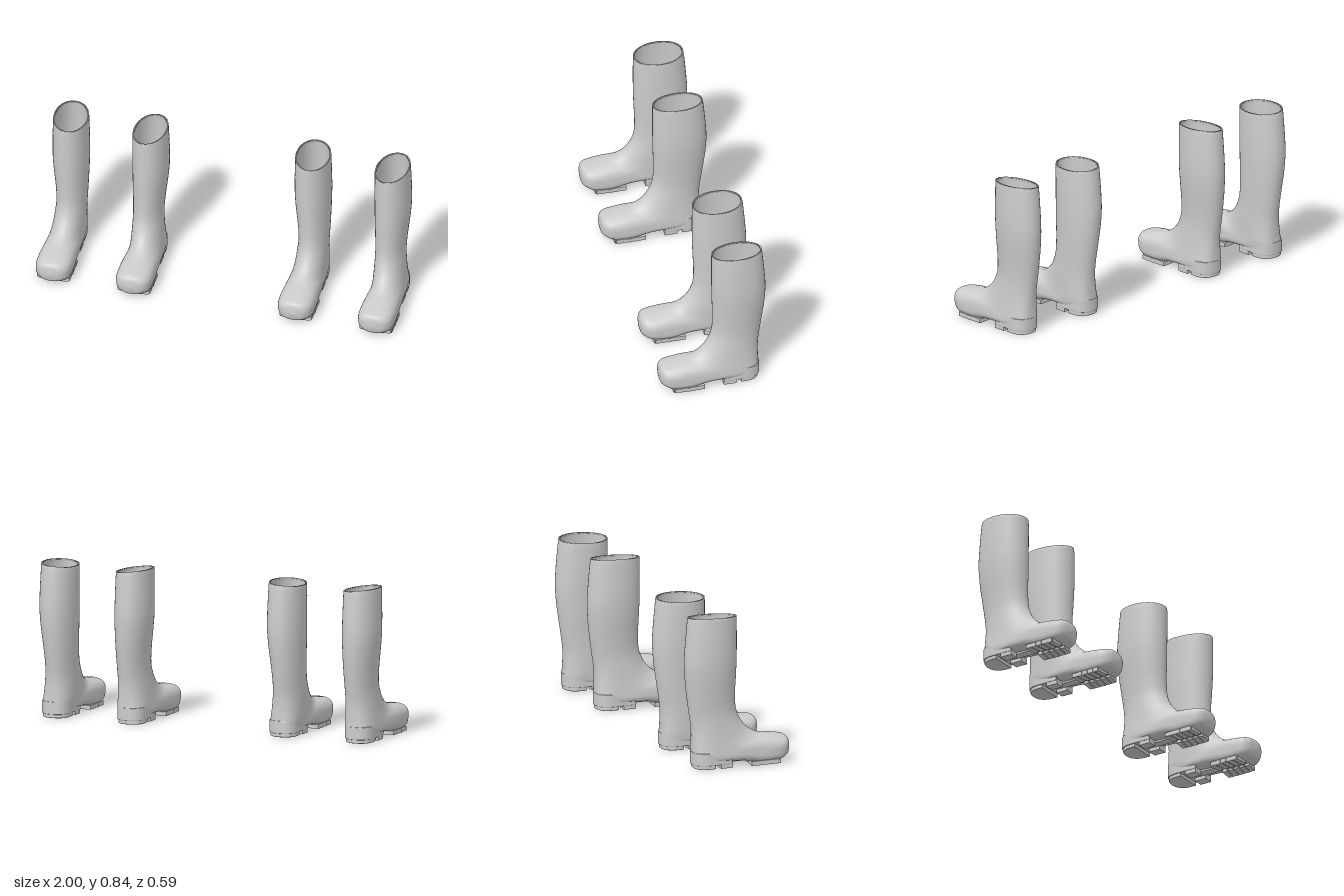
import * as THREE from 'three';

const { smoothstep } = THREE.MathUtils;
const rubber = new THREE.MeshStandardMaterial({ color: 0xcccccc });
rubber.name = 'grey rubber';

// Rings from shaft top to toe tip: [front z, front y, back z, back y, half width, x shift]
const RINGS = [
  [-0.002, 0.824, -0.274, 0.833, 0.091, 0.002],
  [0, 0.812, -0.279, 0.818, 0.094, 0.002],
  [0, 0.62, -0.296, 0.62, 0.097, 0.001],
  [-0.003, 0.5, -0.293, 0.5, 0.092, 0.004],
  [-0.006, 0.4, -0.282, 0.4, 0.085, 0.008],
  [0, 0.31, -0.268, 0.3, 0.08, 0.01],
  [0.027, 0.245, -0.256, 0.21, 0.081, 0.008],
  [0.062, 0.203, -0.254, 0.12, 0.083, 0.005],
  [0.09, 0.183, -0.252, 0.055, 0.085, 0.002],
  [0.12, 0.168, -0.2, 0.03, 0.087, 0],
  [0.15, 0.161, -0.09, 0.03, 0.091, 0],
  [0.18, 0.156, 0.02, 0.027, 0.095, 0],
  [0.21, 0.151, 0.11, 0.012, 0.098, 0],
  [0.24, 0.146, 0.19, 0.011, 0.097, 0],
  [0.264, 0.142, 0.24, 0.015, 0.089, 0],
  [0.281, 0.135, 0.272, 0.024, 0.072, 0],
  [0.292, 0.118, 0.289, 0.038, 0.048, 0],
  [0.298, 0.077, 0.298, 0.077, 0, 0],
];

// Smooth extra rings between the given ones
function refine(rings, steps) {
  const out = [];
  for (let i = 0; i < rings.length - 1; i++) {
    const a = rings[Math.max(i - 1, 0)], b = rings[i], c = rings[i + 1];
    const d = rings[Math.min(i + 2, rings.length - 1)];
    for (let k = 0; k < steps; k++) {
      const t = k / steps;
      out.push(b.map((v, n) => {
        const slope = c[n] - a[n];
        const bend = 2 * a[n] - 5 * v + 4 * c[n] - d[n];
        const twist = 3 * (v - c[n]) + d[n] - a[n];
        return v + 0.5 * t * (slope + t * (bend + t * twist));
      }));
    }
  }
  out.push(rings[rings.length - 1]);
  return out;
}

// Skin over superellipse rings, squarer towards the sole; side -1 mirrors it
function loft(rings, side) {
  const N = 40, pos = [], index = [];
  const power = (v, n) => Math.sign(v) * Math.pow(Math.abs(v), 2 / n);
  for (const [fz, fy, bz, by, w, shift] of rings) {
    const nFront = 2 + 0.5 * smoothstep(fz, 0.03, 0.2);
    const nBack = 2.1 + 1.9 * smoothstep(fz, 0, 0.16) - 1.8 * smoothstep(fz, 0.25, 0.3);
    for (let j = 0; j < N; j++) {
      const t = (j / N) * Math.PI * 2, c = Math.cos(t);
      const n = c > 0 ? nFront : nBack;
      const u = power(c, n), v = power(Math.sin(t), n);
      // the rim is cut at a slant: higher on one side
      const tilt = -0.009 * v * smoothstep((fy + by) / 2, 0.5, 0.83);
      pos.push(side * (shift + w * v), (fy + by) / 2 + u * (fy - by) / 2 + tilt,
        (fz + bz) / 2 + u * (fz - bz) / 2);
    }
  }
  for (let i = 0; i < rings.length - 1; i++) {
    for (let j = 0; j < N; j++) {
      const a = i * N + j, d = i * N + ((j + 1) % N), b = a + N, c = d + N;
      if (side > 0) index.push(a, b, c, a, c, d);
      else index.push(a, c, b, a, d, c);
    }
  }
  const g = new THREE.BufferGeometry();
  g.setAttribute('position', new THREE.Float32BufferAttribute(pos, 3));
  g.setIndex(index);
  g.computeVertexNormals();
  return g;
}

// Horizontal slab with straight front and rounded back, from height y0 to y1
function heelSlab(zFront, zBack, w, y0, y1) {
  const bevel = 0.005, s = new THREE.Shape();
  const r = Math.min(w * 1.1, zFront - zBack - 2 * bevel);
  // shape y is -z, so the back of the heel is up
  s.moveTo(-w + bevel, -zFront + bevel);
  s.lineTo(w - bevel, -zFront + bevel);
  s.lineTo(w - bevel, -zBack - r);
  s.bezierCurveTo(w - bevel, -zBack - r * 0.35, w * 0.6, -zBack - bevel, 0, -zBack - bevel);
  s.bezierCurveTo(-w * 0.6, -zBack - bevel, -w + bevel, -zBack - r * 0.35, -w + bevel, -zBack - r);
  const g = new THREE.ExtrudeGeometry(s, {
    depth: y1 - y0 - 2 * bevel, bevelThickness: bevel, bevelSize: bevel,
    bevelSegments: 2, curveSegments: 12,
  });
  return g.rotateX(-Math.PI / 2).translate(0, y0 + bevel, 0);
}

function createBoot(side) {
  const boot = new THREE.Group();
  const add = (geometry, name, x = 0, y = 0, z = 0) => {
    const m = new THREE.Mesh(geometry, rubber);
    m.name = name;
    m.position.set(x, y, z);
    boot.add(m);
    return m;
  };

  // Lining follows the shaft inside, then closes at the insole; the skin folds over the rim
  const t = 0.006;
  const lining = RINGS.slice(0, 7).map(([fz, fy, bz, by, w, shift]) =>
    [fz - t, fy, bz + t, by, w - t, shift]);
  lining.push(
    [0, 0.12, -0.235, 0.1, 0.066, 0.005],
    [-0.02, 0.07, -0.215, 0.065, 0.05, 0.003],
    [-0.12, 0.064, -0.12, 0.064, 0, 0]);
  const rim = RINGS[0].map((v, i) => (v + lining[0][i]) / 2 + (i === 1 || i === 3 ? 0.002 : 0));
  add(loft([...refine(lining, 2).reverse(), rim, ...refine(RINGS, 3)], side), 'bootUpper');

  // Heel block and its lugs, with a groove across
  add(heelSlab(-0.052, -0.259, 0.08, 0.02, 0.09), 'heelBlock');
  add(heelSlab(-0.147, -0.253, 0.076, 0, 0.03), 'rearHeelLug');
  for (const s of [-1, 1]) {
    add(new THREE.BoxGeometry(0.055, 0.03, 0.068), 'frontHeelLug', s * 0.05, 0.015, -0.084);

    // Forefoot tread bars either side of a centre groove
    for (let i = 0; i < 5; i++) {
      const w = 0.08 - 0.002 * (i - 2) ** 2;
      const bar = add(new THREE.BoxGeometry(w, 0.022, 0.027), 'treadBar',
        s * (0.012 + w / 2), 0.0115, 0.075 + i * 0.036);
      bar.rotation.y = s * 0.12;
    }
    // Edge strip of the forefoot sole
    add(new THREE.BoxGeometry(0.012, 0.024, 0.165), 'soleEdge', s * 0.084, 0.013, 0.14);
  }
  // Raised arch between heel and forefoot
  add(new THREE.BoxGeometry(0.05, 0.012, 0.13), 'archRib', 0, 0.025, 0);
  return boot;
}

export function createModel() {
  const model = new THREE.Group();
  model.name = 'boots';
  // Two pairs of boots
  for (const [x, side, name] of [
    [-0.9, 1, 'firstPairRightBoot'], [-0.452, -1, 'firstPairLeftBoot'],
    [0.452, 1, 'secondPairRightBoot'], [0.9, -1, 'secondPairLeftBoot'],
  ]) {
    const boot = createBoot(side);
    boot.name = name;
    boot.position.x = x;
    model.add(boot);
  }
  return model;
}
